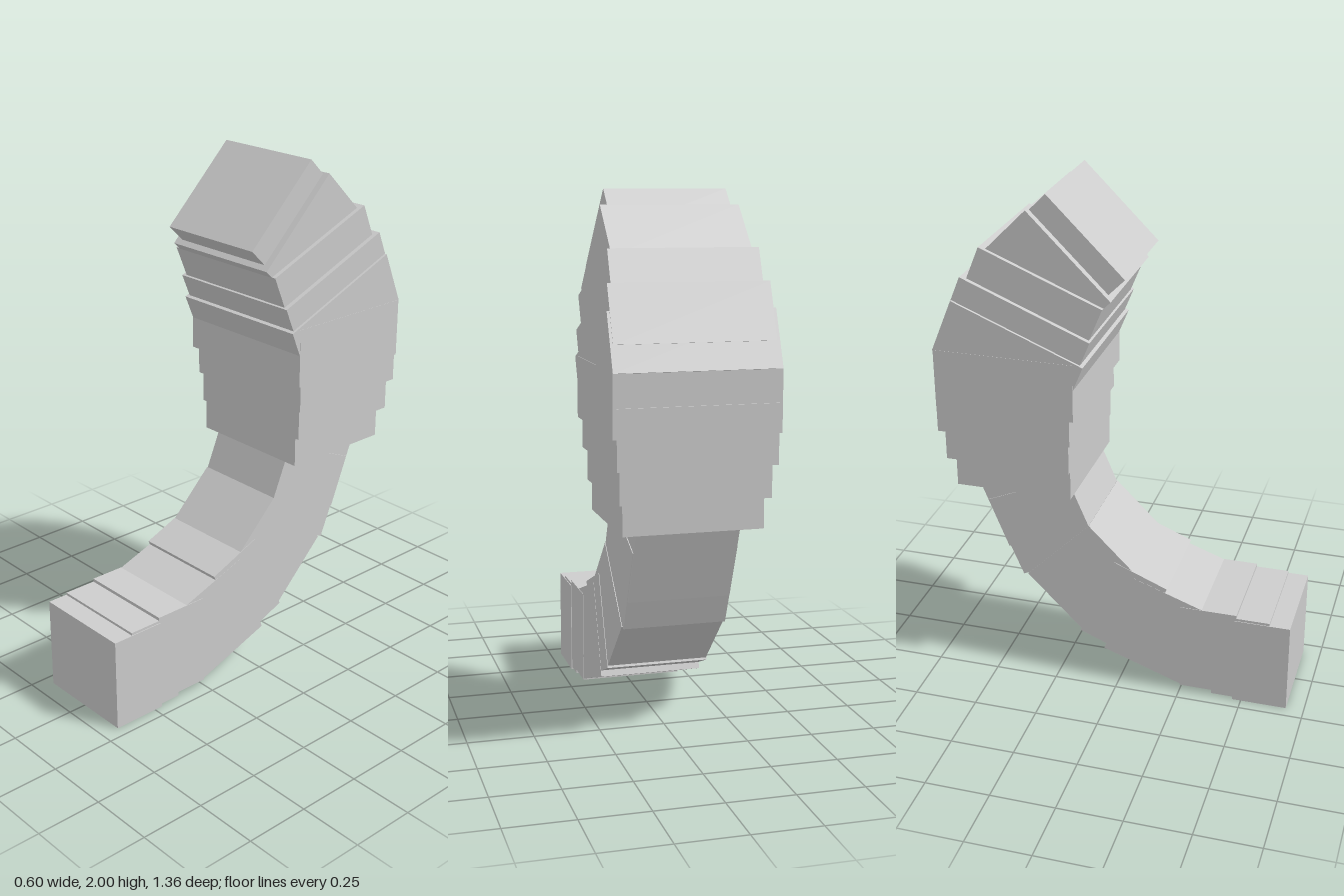
import * as THREE from 'three';

// Curved tail made of overlapping boxes.
// Each row: z and y of the lower back corner, heading in degrees
// (0 = backwards, 90 = up, 135 = up and forwards), length, thickness, half width
const BASE = [
  [0.68, 0.0, 0, 0.215, 0.365, 0.203],
  [0.6, 0.01, 0, 0.22, 0.365, 0.2],
  [0.47, 0.025, 0, 0.22, 0.363, 0.2],
  [0.25, 0.03, 19.7, 0.33, 0.365, 0.198],
  [0.053, 0.12, 22.5, 0.23, 0.365, 0.197],
  [-0.155, 0.215, 45, 0.31, 0.36, 0.195],
  [-0.392, 0.43, 67, 0.342, 0.35, 0.193],
  [-0.45, 0.545, 68, 0.34, 0.34, 0.19],
];
const TIP = [
  // widening upright steps
  [-0.625, 0.83, 90, 0.215, 0.455, 0.255],
  [-0.657, 0.945, 90, 0.215, 0.487, 0.272],
  [-0.68, 1.065, 90, 0.215, 0.52, 0.287],
  [-0.675, 1.175, 90, 0.225, 0.535, 0.3],
  // forward lean
  [-0.678, 1.398, 112.5, 0.217, 0.535, 0.299],
  [-0.642, 1.49, 112.5, 0.215, 0.523, 0.289],
  [-0.572, 1.602, 112.5, 0.215, 0.493, 0.271],
  // curled end
  [-0.485, 1.775, 135, 0.24, 0.435, 0.254],
  [-0.4, 1.85, 135, 0.213, 0.405, 0.226],
];

function segment(name, [z, y, heading, length, thickness, halfWidth], material) {
  const a = THREE.MathUtils.degToRad(heading);
  const mesh = new THREE.Mesh(
    new THREE.BoxGeometry(halfWidth * 2, thickness, length), material);
  // centre lies half a length along the heading and half a thickness inwards
  mesh.position.set(
    0,
    y + Math.sin(a) * length / 2 + Math.cos(a) * thickness / 2,
    z - Math.cos(a) * length / 2 + Math.sin(a) * thickness / 2);
  mesh.rotation.x = a;
  mesh.name = name;
  return mesh;
}

export function createModel() {
  const model = new THREE.Group();
  model.name = 'tail';
  const grey = new THREE.MeshStandardMaterial({ color: 0xcccccc });
  grey.name = 'lightGrey';

  for (const [name, rows] of [['tailBase', BASE], ['tailTip', TIP]]) {
    const part = new THREE.Group();
    part.name = name;
    rows.forEach((row, i) => part.add(segment(`${name}Segment${i + 1}`, row, grey)));
    model.add(part);
  }
  return model;
}
